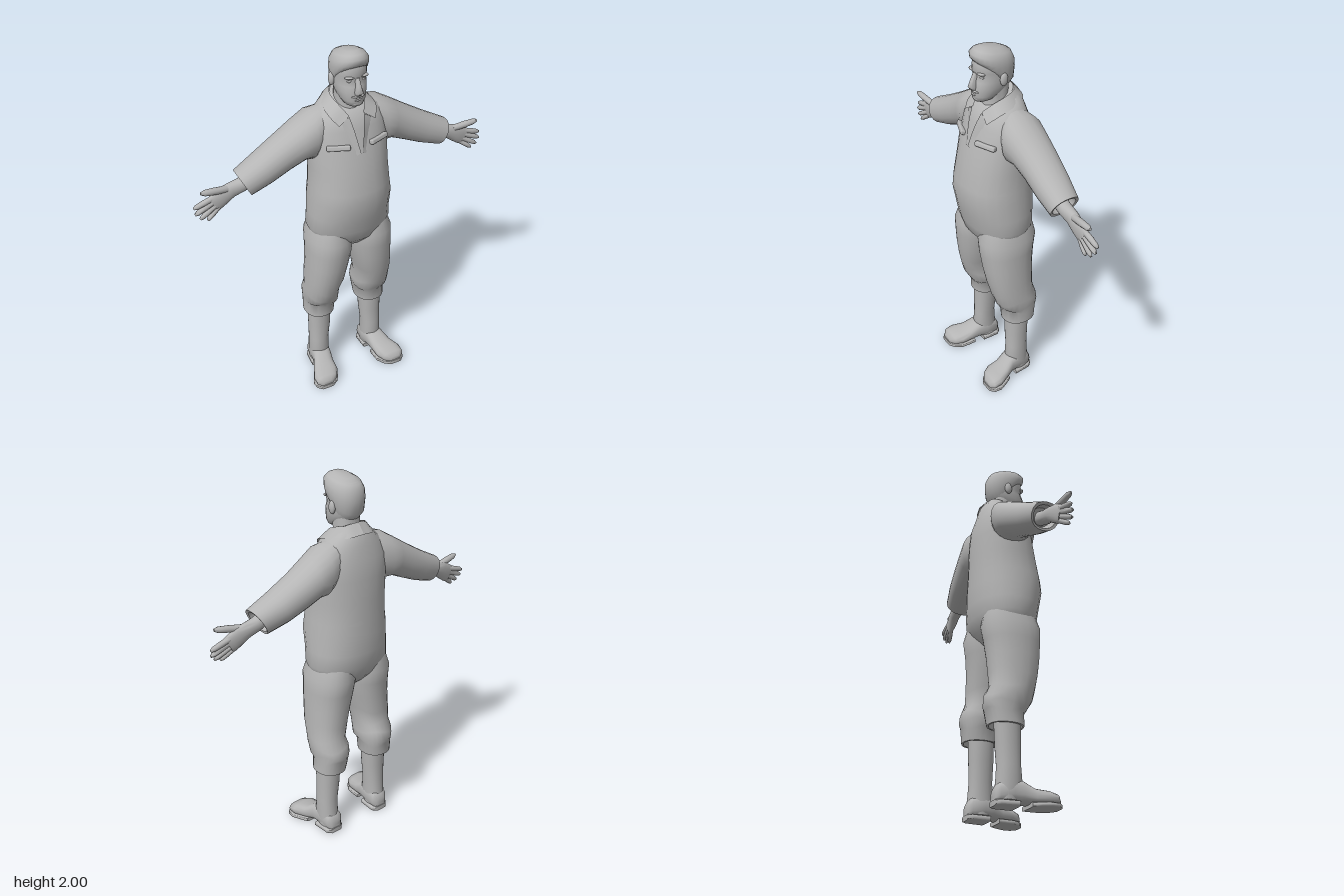
import * as THREE from 'three';
import { toCreasedNormals } from 'three/addons/utils/BufferGeometryUtils.js';
import { RoundedBoxGeometry } from 'three/addons/geometries/RoundedBoxGeometry.js';

const V = (x, y, z) => new THREE.Vector3(x, y, z);

// Closed cross-section: centre + u cos + v sin, squared off by the exponent
function ring(c, u, v, exp = 2.2, n = 24) {
  const pts = [];
  const f = (t) => Math.sign(t) * Math.abs(t) ** (2 / exp);
  for (let i = 0; i < n; i++) {
    const a = (i / n) * Math.PI * 2;
    pts.push(c.clone().addScaledVector(u, f(Math.cos(a))).addScaledVector(v, f(Math.sin(a))));
  }
  return pts;
}

// Skin over the rings, capped at both ends
function loft(rings, crease = 0.9) {
  const n = rings[0].length, pos = [], idx = [];
  rings.forEach((r) => r.forEach((p) => pos.push(p.x, p.y, p.z)));
  for (let i = 0; i < rings.length - 1; i++) for (let j = 0; j < n; j++) {
    const a = i * n + j, b = i * n + ((j + 1) % n);
    idx.push(a, b, b + n, a, b + n, a + n);
  }
  [0, rings.length - 1].forEach((k, end) => {
    const c = V(0, 0, 0);
    rings[k].forEach((p) => c.addScaledVector(p, 1 / n));
    const ci = pos.length / 3;
    pos.push(c.x, c.y, c.z);
    for (let j = 0; j < n; j++) {
      const a = k * n + j, b = k * n + ((j + 1) % n);
      end ? idx.push(ci, a, b) : idx.push(ci, b, a);
    }
  });
  return finish(pos, idx, crease);
}

function finish(pos, idx, crease) {
  const g = new THREE.BufferGeometry();
  g.setAttribute('position', new THREE.Float32BufferAttribute(pos, 3));
  g.setIndex(idx);
  return toCreasedNormals(g, crease);
}

// Horizontal ring [y, x0, x1, zFront, zBack, tilt]
const level = ([y, x0, x1, zf, zb, tilt = 0], exp) =>
  ring(V((x0 + x1) / 2, y, (zf + zb) / 2), V(0, tilt, (zf - zb) / 2), V((x1 - x0) / 2, 0, 0), exp);
// Horizontal ring centred on x = 0: [y, halfWidth, zFront, zBack, tilt]
const central = ([y, w, ...rest], exp) => level([y, -w, w, ...rest], exp);
// Sideways ring [topX, topY, bottomX, bottomY, zFront, zBack]
const cross = ([tx, ty, bx, by, zf, zb], exp) =>
  ring(V((tx + bx) / 2, (ty + by) / 2, (zf + zb) / 2), V((tx - bx) / 2, (ty - by) / 2, 0), V(0, 0, (zf - zb) / 2), exp, 20);

// Open ribbon between two curves
function ribbon(a, b, n = 16) {
  const ca = new THREE.CatmullRomCurve3(a), cb = new THREE.CatmullRomCurve3(b), pos = [], idx = [];
  for (let i = 0; i <= n; i++) {
    const p = ca.getPoint(i / n), q = cb.getPoint(i / n), k = i * 2;
    pos.push(p.x, p.y, p.z, q.x, q.y, q.z);
    if (i < n) idx.push(k, k + 1, k + 2, k + 1, k + 3, k + 2);
  }
  return finish(pos, idx, 0.9);
}

// Copy reflected across x = 0 with the winding restored
function mirrored(src) {
  const g = src.index ? src.toNonIndexed() : src.clone();
  for (const key of ['position', 'normal']) {
    const at = g.attributes[key], p = V(0, 0, 0), q = V(0, 0, 0);
    for (let i = 0; i < at.count; i++) at.setX(i, -at.getX(i));
    for (let i = 0; i < at.count; i += 3) {
      p.fromBufferAttribute(at, i + 1);
      q.fromBufferAttribute(at, i + 2);
      at.setXYZ(i + 1, q.x, q.y, q.z);
      at.setXYZ(i + 2, p.x, p.y, p.z);
    }
  }
  return g;
}

const blob = (x, y, z, rx, ry, rz) => new THREE.SphereGeometry(1, 14, 10).scale(rx, ry, rz).translate(x, y, z);

export function createModel() {
  const model = new THREE.Group();
  const grey = new THREE.MeshStandardMaterial({ color: 0xb5b5b5, side: THREE.DoubleSide });
  grey.name = 'grey';
  const add = (name, geo) => {
    const m = new THREE.Mesh(geo, grey);
    m.name = name;
    model.add(m);
  };
  const pair = (name, geo) => {
    add(name + 'Left', geo);
    add(name + 'Right', mirrored(geo));
  };

  // Coverall body, crotch to neck opening
  add('torso', loft([
    [0.86, 0.06, 0.04, -0.06], [0.9, 0.14, 0.09, -0.11], [0.95, 0.2, 0.135, -0.155],
    [1.02, 0.23, 0.157, -0.182], [1.1, 0.222, 0.175, -0.19], [1.2, 0.222, 0.195, -0.19],
    [1.27, 0.212, 0.19, -0.187], [1.38, 0.207, 0.168, -0.184], [1.5, 0.21, 0.142, -0.18],
    [1.6, 0.205, 0.108, -0.17], [1.67, 0.165, 0.085, -0.15], [1.71, 0.115, 0.055, -0.135, -0.02],
    [1.74, 0.075, 0.035, -0.1, -0.035],
  ].map((r) => central(r))));

  // Trouser legs, with baggy folds over the boots and a hollow cuff
  const legRings = [
    [0.46, 0.1, 0.21, 0.005, -0.12], [0.4, 0.085, 0.23, 0.02, -0.145], [0.4, 0.075, 0.242, 0.03, -0.155],
    [0.47, 0.066, 0.24, 0.032, -0.165], [0.505, 0.056, 0.245, 0.062, -0.174], [0.55, 0.056, 0.25, 0.077, -0.168],
    [0.6, 0.06, 0.247, 0.092, -0.142], [0.68, 0.04, 0.246, 0.115, -0.142], [0.78, 0.018, 0.24, 0.132, -0.147],
    [0.87, 0, 0.238, 0.142, -0.157], [0.95, -0.005, 0.235, 0.148, -0.172], [1.05, 0.01, 0.2, 0.12, -0.15],
  ].map((r) => level(r));
  legRings.forEach((r, k) => {
    if (k < 3 || k > 7) return;
    r.forEach((p, j) => { p.y += 0.012 * Math.sin((j / 24) * Math.PI * 6 + k * 1.9); });
  });
  pair('trouserLeg', loft(legRings));

  // Sleeves ending in hollow cuffs
  pair('sleeve', loft([
    [0.1, 1.7, 0.14, 1.46, 0.04, -0.13], [0.19, 1.68, 0.2, 1.43, 0.075, -0.165],
    [0.27, 1.632, 0.24, 1.43, 0.06, -0.158], [0.36, 1.575, 0.32, 1.395, 0.05, -0.15],
    [0.48, 1.505, 0.42, 1.352, 0.05, -0.135], [0.595, 1.445, 0.53, 1.315, 0.045, -0.108],
    [0.585, 1.432, 0.532, 1.327, 0.03, -0.095], [0.54, 1.44, 0.49, 1.36, 0.02, -0.085],
  ].map((r) => cross(r))));

  // Hands: wrist and palm, fingers, thumb
  pair('palm', loft([
    [0.5, 1.44, 0.48, 1.37, 0.005, -0.065], [0.58, 1.405, 0.56, 1.335, 0.002, -0.066],
    [0.63, 1.395, 0.61, 1.318, -0.004, -0.062], [0.68, 1.383, 0.65, 1.29, -0.004, -0.055],
    [0.72, 1.36, 0.68, 1.27, -0.01, -0.048], [0.745, 1.345, 0.7, 1.262, -0.014, -0.042],
  ].map((r) => cross(r))));
  const finger = (x0, y0, z0, x1, y1, z1, r) => {
    const a = V(x0, y0, z0), b = V(x1, y1, z1), d = b.clone().sub(a).normalize();
    const u = V(-d.y, d.x, 0).normalize(), v = d.clone().cross(u);
    return loft([[0, 1], [0.5, 1], [0.85, 0.85], [1, 0.4]].map(([t, s]) =>
      ring(a.clone().lerp(b, t), u.clone().multiplyScalar(r * s), v.clone().multiplyScalar(r * s), 2, 10)), 1.2);
  };
  [
    ['indexFinger', 0.715, 1.338, -0.03, 0.82, 1.305, -0.03, 0.015],
    ['middleFinger', 0.715, 1.318, -0.028, 0.818, 1.273, -0.022, 0.015],
    ['ringFinger', 0.705, 1.298, -0.027, 0.797, 1.246, -0.014, 0.014],
    ['littleFinger', 0.695, 1.28, -0.027, 0.762, 1.232, -0.01, 0.013],
    ['thumb', 0.645, 1.372, -0.025, 0.783, 1.395, -0.008, 0.018],
  ].forEach(([name, ...p]) => pair(name, finger(...p)));

  // Boots: shaft, foot, heel and sole
  pair('bootShaft', loft([
    [0.03, 0.117, 0.218, 0, -0.12], [0.1, 0.114, 0.224, 0.018, -0.117], [0.2, 0.113, 0.222, 0.01, -0.11],
    [0.3, 0.101, 0.222, 0.012, -0.115], [0.45, 0.092, 0.226, 0.014, -0.12],
  ].map((r) => level(r))));
  const slice = ([z, cx, w, y0, y1], exp = 2.6) =>
    ring(V(cx, (y0 + y1) / 2, z), V(w, 0, 0), V(0, (y1 - y0) / 2, 0), exp);
  pair('bootFoot', loft([
    [-0.128, 0.165, 0.032, 0.012, 0.08], [-0.11, 0.165, 0.05, 0.012, 0.115], [-0.04, 0.168, 0.056, 0.015, 0.14],
    [0.01, 0.175, 0.055, 0.02, 0.13], [0.06, 0.19, 0.062, 0.015, 0.095], [0.12, 0.205, 0.074, 0.012, 0.085],
    [0.162, 0.216, 0.062, 0.012, 0.072], [0.182, 0.221, 0.032, 0.015, 0.05],
  ].map((r) => slice(r))));
  pair('bootHeel', loft([[-0.132, 0.165, 0.035, 0, 0.028], [-0.11, 0.165, 0.055, 0, 0.028],
    [-0.015, 0.17, 0.058, 0, 0.028]].map((r) => slice(r, 6))));
  pair('bootSole', loft([[0.04, 0.184, 0.058, 0, 0.024], [0.08, 0.195, 0.069, 0, 0.024],
    [0.125, 0.207, 0.078, 0, 0.024], [0.165, 0.217, 0.064, 0, 0.024], [0.187, 0.221, 0.036, 0, 0.024],
  ].map((r) => slice(r, 6))));

  // Neck and head
  add('neck', loft([[1.64, 0.075, 0.07, -0.11], [1.7, 0.066, 0.05, -0.09], [1.75, 0.066, 0.055, -0.075],
    [1.82, 0.064, 0.06, -0.08]].map((r) => central(r))));
  add('head', loft([
    [1.725, 0.03, 0.092, 0.02, -0.004], [1.738, 0.05, 0.105, -0.02, -0.01], [1.765, 0.066, 0.112, -0.06, -0.012],
    [1.8, 0.075, 0.112, -0.085], [1.83, 0.078, 0.106, -0.092], [1.857, 0.079, 0.096, -0.098],
    [1.88, 0.081, 0.105, -0.1], [1.93, 0.081, 0.1, -0.1], [1.965, 0.06, 0.08, -0.075],
  ].map((r) => central(r)), 1.2));
  add('hair', loft([
    [1.85, 0.078, 0.085, -0.07, 0.075], [1.87, 0.087, 0.103, -0.1, 0.06], [1.91, 0.09, 0.115, -0.108, 0.035],
    [1.945, 0.087, 0.118, -0.105, 0.025], [1.972, 0.07, 0.1, -0.088, 0.016], [1.989, 0.04, 0.072, -0.045, 0.01],
  ].map((r) => central(r)), 1.1));
  add('nose', loft([[1.788, 0.018, 0.122, 0.08], [1.804, 0.021, 0.138, 0.08], [1.835, 0.013, 0.128, 0.08],
    [1.875, 0.01, 0.108, 0.07]].map((r) => central(r)), 1.1));
  add('moustache', blob(0, 1.781, 0.104, 0.036, 0.008, 0.014));
  add('lowerLip', blob(0, 1.762, 0.106, 0.022, 0.006, 0.01));
  add('chin', blob(0, 1.742, 0.088, 0.034, 0.018, 0.022));
  pair('eye', blob(0.033, 1.857, 0.08, 0.015, 0.009, 0.012));
  pair('brow', blob(0.036, 1.877, 0.088, 0.026, 0.008, 0.018));
  pair('ear', blob(0.086, 1.843, -0.008, 0.014, 0.034, 0.021).rotateZ(0));

  // Collar, opening flaps and chest pockets
  pair('collar', ribbon(
    [V(0, 1.77, -0.11), V(0.06, 1.765, -0.088), V(0.083, 1.75, -0.03), V(0.07, 1.72, 0.04), V(0.038, 1.675, 0.088)],
    [V(0, 1.725, -0.148), V(0.08, 1.715, -0.125), V(0.128, 1.7, -0.03), V(0.128, 1.675, 0.055), V(0.098, 1.635, 0.1)]));
  pair('frontFlap', ribbon(
    [V(0.04, 1.672, 0.092), V(0.025, 1.6, 0.122), V(0.004, 1.49, 0.15)],
    [V(0.08, 1.645, 0.088), V(0.06, 1.58, 0.108), V(0.025, 1.48, 0.146)], 6));
  pair('pocketFlap', new RoundedBoxGeometry(0.118, 0.026, 0.03, 2, 0.008)
    .rotateX(-0.3).rotateY(0.38).translate(0.11, 1.528, 0.114));
  return model;
}
